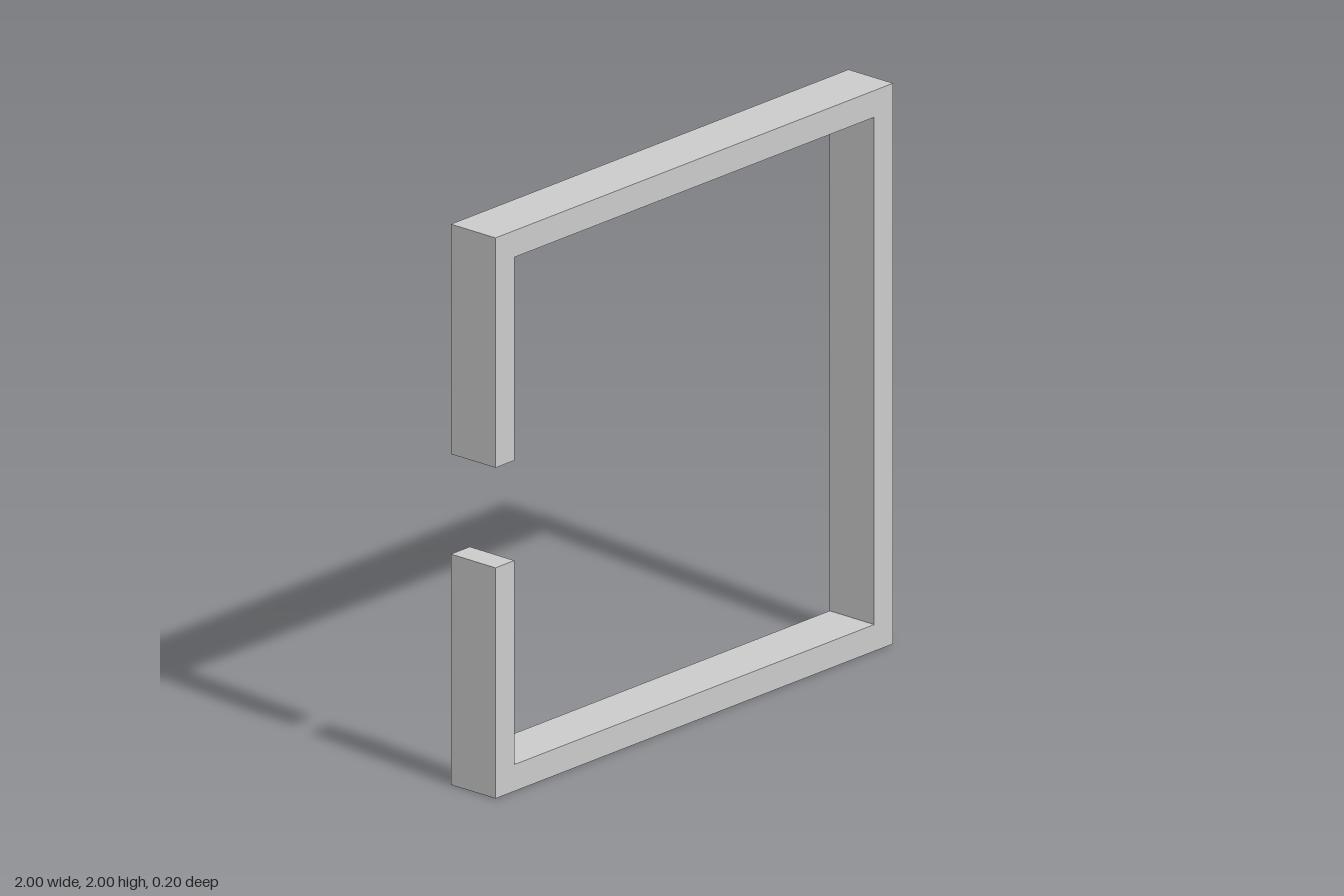
import * as THREE from 'three';

export function createModel() {
  const model = new THREE.Group();
  const wall = 0.095, depth = 0.2, gapBottom = 0.823, gapTop = 1.18;
  const inner = 1 - wall;

  // Square ring outline, open at a gap in the -x side
  const outline = [
    [-1, gapBottom], [-1, 0], [1, 0], [1, 2], [-1, 2], [-1, gapTop],
    [-inner, gapTop], [-inner, 2 - wall], [inner, 2 - wall],
    [inner, wall], [-inner, wall], [-inner, gapBottom],
  ].map(([x, y]) => new THREE.Vector2(x, y));

  const geometry = new THREE.ExtrudeGeometry(new THREE.Shape(outline), { depth, bevelEnabled: false });
  geometry.translate(0, 0, -depth / 2);

  const frame = new THREE.Mesh(geometry, new THREE.MeshStandardMaterial({ color: 0xcccccc, flatShading: true }));
  frame.name = 'openSquareFrame';
  model.add(frame);
  return model;
}
